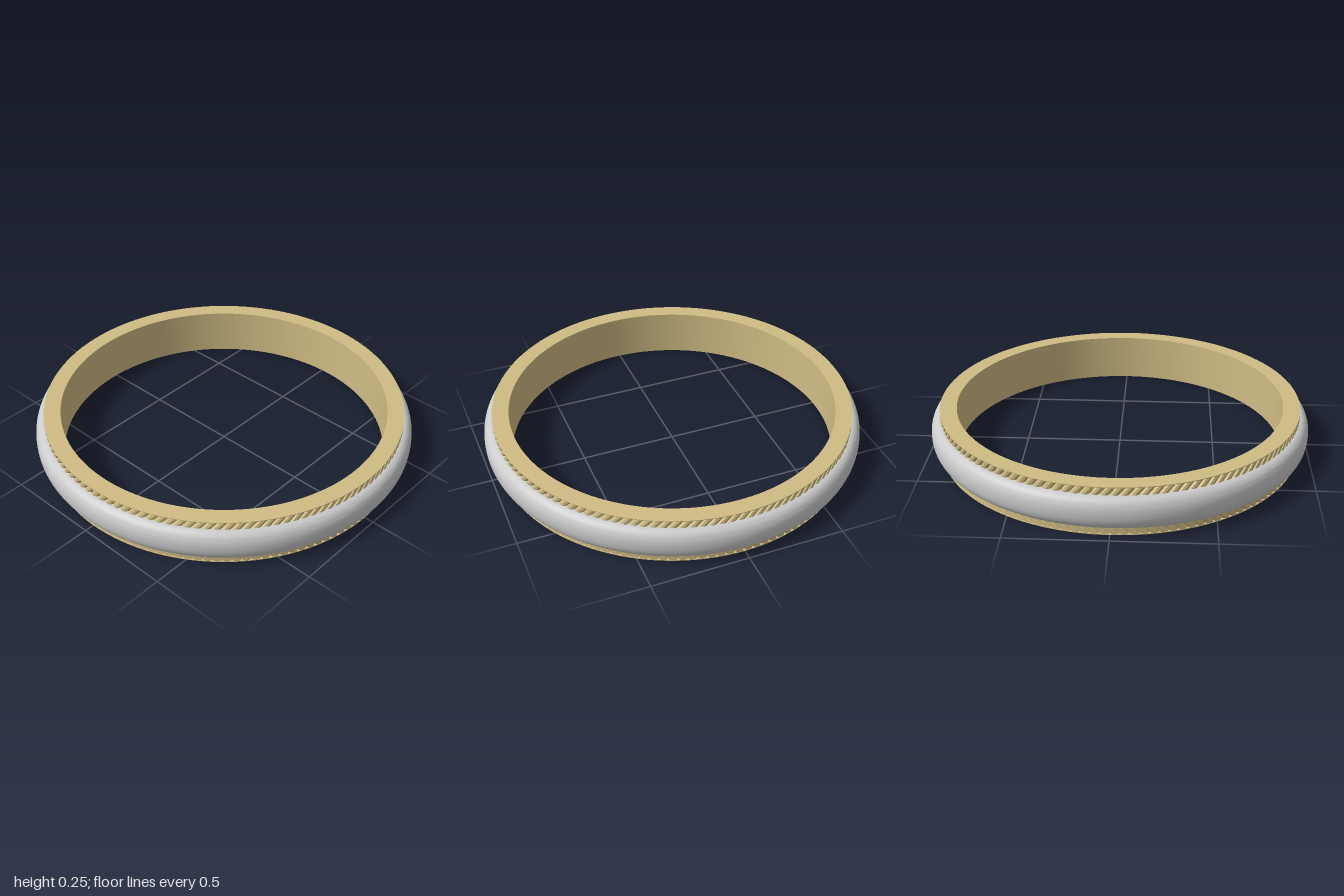
import * as THREE from 'three';
import { toCreasedNormals } from 'three/addons/utils/BufferGeometryUtils.js';

const H = 0.253, INNER = 0.862, OUTER = 0.95, GROOVE = 0.934;
const EDGE = 0.043, RIM = 0.004, TEETH = 128;

const gold = new THREE.MeshStandardMaterial({ color: 0xd0bc84 });
const goldFlat = new THREE.MeshStandardMaterial({ color: 0xd0bc84, flatShading: true });
const silver = new THREE.MeshStandardMaterial({ color: 0xcccccc });

function lathe(name, points, material) {
  const geometry = new THREE.LatheGeometry(points.map(([r, y]) => new THREE.Vector2(r, y)), 160);
  const mesh = new THREE.Mesh(toCreasedNormals(geometry, 0.6), material);
  mesh.name = name;
  return mesh;
}

// Ring of slanted ridges: a toothed outline extruded upward and twisted with height
function ropeEdge(name, y, slant) {
  const shape = new THREE.Shape();
  const step = (Math.PI * 2) / TEETH;
  for (let i = 0; i < TEETH; i++) {
    for (const [t, r] of [[0, GROOVE], [0.16, OUTER - 0.003], [0.48, OUTER], [0.8, OUTER - 0.003]]) {
      const a = (i + t) * step;
      const x = r * Math.cos(a), z = r * Math.sin(a);
      if (i === 0 && t === 0) shape.moveTo(x, z);
      else shape.lineTo(x, z);
    }
  }
  shape.closePath();
  shape.holes.push(new THREE.Path().absarc(0, 0, 0.9, 0, Math.PI * 2, true));

  const depth = EDGE - RIM;
  const geometry = new THREE.ExtrudeGeometry(shape, { depth, steps: 2, bevelEnabled: false, curveSegments: 48 });
  geometry.rotateX(-Math.PI / 2);
  const p = geometry.attributes.position;
  const v = new THREE.Vector3(), up = new THREE.Vector3(0, 1, 0);
  for (let i = 0; i < p.count; i++) {
    v.fromBufferAttribute(p, i);
    v.applyAxisAngle(up, slant * v.y / depth);
    p.setXYZ(i, v.x, v.y, v.z);
  }
  geometry.computeVertexNormals();
  const mesh = new THREE.Mesh(geometry, goldFlat);
  mesh.name = name;
  mesh.position.y = y;
  return mesh;
}

export function createModel() {
  const ring = new THREE.Group();
  ring.name = 'ring';

  // Inner band with a thin plain rim at both faces
  ring.add(lathe('innerBand', [
    [INNER, 0], [OUTER, 0], [OUTER, RIM], [GROOVE - 0.004, RIM],
    [GROOVE - 0.004, H - RIM], [OUTER, H - RIM], [OUTER, H], [INNER, H], [INNER, 0],
  ], gold));

  // Domed outer band
  const dome = [[0.925, EDGE]];
  const half = H / 2 - EDGE;
  for (let i = 0; i <= 24; i++) {
    const a = -Math.PI / 2 + (i / 24) * Math.PI;
    const s = Math.sin(a);
    dome.push([
      0.942 + 0.058 * Math.pow(Math.max(0, Math.cos(a)), 0.9),
      H / 2 + half * Math.sign(s) * Math.pow(Math.abs(s), 0.9),
    ]);
  }
  dome.push([0.925, H - EDGE]);
  ring.add(lathe('domedBand', dome, silver));

  // Ridged edges, slanting in mirrored directions
  ring.add(ropeEdge('lowerRopeEdge', RIM, -0.034));
  ring.add(ropeEdge('upperRopeEdge', H - EDGE, 0.034));
  return ring;
}
